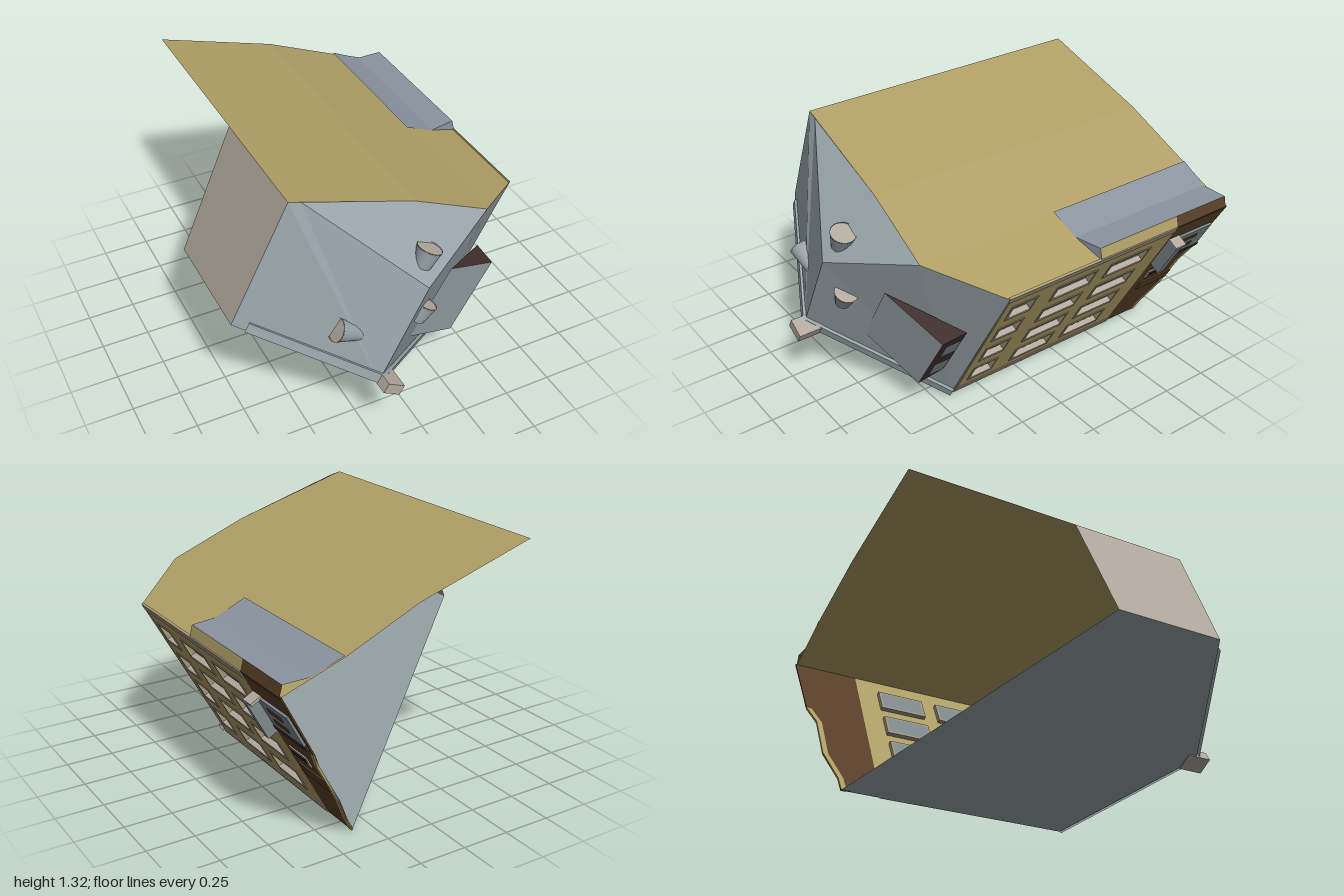
import * as THREE from 'three';

const mat = (name, color) => new THREE.MeshStandardMaterial({ name, color, side: THREE.DoubleSide });

export function createModel() {
  const M = {
    tan: mat('tan', 0xb09f66), gray: mat('gray', 0x98a4aa), slate: mat('slate', 0x8b93a0),
    glass: mat('glass', 0x7f8a8e), beige: mat('beige', 0xb3aa9e), trim: mat('trim', 0xa09480),
    brown: mat('brown', 0x5a4029), dark: mat('darkBrown', 0x40302d), black: mat('black', 0x25201d),
  };
  const root = new THREE.Group();
  root.name = 'tiltedBuilding';
  const add = (parent, name, geo, m, pos = [0, 0, 0], rotZ = 0) => {
    const mesh = new THREE.Mesh(geo, m);
    mesh.name = name;
    mesh.position.set(...pos);
    mesh.rotation.z = rotZ;
    parent.add(mesh);
    return mesh;
  };
  // flat convex panel from its corners
  const panel = (name, m, ...pts) => {
    const v = [];
    for (let i = 1; i < pts.length - 1; i++) v.push(...pts[0], ...pts[i], ...pts[i + 1]);
    const g = new THREE.BufferGeometry();
    g.setAttribute('position', new THREE.Float32BufferAttribute(v, 3));
    g.computeVertexNormals();
    return add(root, name, g, m);
  };

  // shared corners of the shell
  const foot = [0.36, 0.0, 0.41], nose = [-0.21, 0.335, 0.92], brow = [0.04, 0.83, 0.92];
  const eave = [0.82, 0.84, 0.4], hip = [0.5, 0.96, 0.67], mid = [0.1, 1.13, 0.65];
  const peakIn = [-0.47, 1.305, 0.635], peak = [-0.53, 1.32, 0.63], far = [-0.825, 0.7, 0.61];
  const farBack = [-0.825, 0.7, 0.0], footBack = [0.36, 0.005, -0.86];

  // front corner walls, end wall and floor
  panel('frontWallLeft', M.gray, foot, eave, hip, brow, nose);
  panel('frontWallRight', M.gray, nose, brow, peakIn, peak, far);
  panel('frontHip', M.gray, brow, hip, mid, peakIn);
  panel('endWall', M.beige, peak, [-0.53, 1.32, -0.04], farBack, far);
  panel('floor', M.gray, footBack, foot, nose, far, farBack);

  // roof strips
  const front = [peak, mid, hip, eave], backZ = [-0.98, -0.99, -1.0, -0.99];
  for (let i = 0; i < 3; i++) {
    const a = front[i], b = front[i + 1];
    panel('roof', M.tan, a, b, [b[0], b[1], backZ[i + 1]], [a[0], a[1], backZ[i]]);
  }

  // raised eave over the back of the facade
  panel('eaveSlope', M.slate, [0.5, 0.968, -0.11], [0.66, 0.9, -0.12], [0.66, 0.9, -0.985], [0.5, 0.968, -1]);
  panel('eaveShelf', M.slate, [0.66, 0.9, -0.12], [0.805, 0.9, -0.15], [0.805, 0.9, -0.99], [0.66, 0.9, -0.985]);
  panel('eaveEnd', M.slate, [0.66, 0.9, -0.12], [0.82, 0.84, -0.15], [0.805, 0.9, -0.15]);
  panel('eaveFront', M.tan, [0.82, 0.84, -0.15], [0.82, 0.84, -0.65], [0.805, 0.9, -0.65], [0.805, 0.9, -0.15]);
  panel('eaveFrontBack', M.brown, [0.82, 0.84, -0.65], [0.82, 0.84, -0.99], [0.805, 0.9, -0.99], [0.805, 0.9, -0.65]);

  // base curbs along the two front walls
  const curb = (a, b, out) => {
    const up = [0.025, 0.043, 0];
    const at = (p, k, o) => [p[0] + up[0] * k + out[0] * o, p[1] + up[1] * k + out[1] * o, p[2] + out[2] * o];
    panel('curbFace', M.gray, at(a, 0, 1), at(b, 0, 1), at(b, 1, 1), at(a, 1, 1));
    panel('curbTop', M.gray, at(a, 1, 1), at(b, 1, 1), at(b, 1, 0), at(a, 1, 0));
  };
  curb([-0.77, 0.667, 0.635], nose, [-0.006, 0.003, 0.016]);
  curb(nose, foot, [0.01, -0.004, 0.014]);
  add(root, 'cornerBlock', new THREE.BoxGeometry(0.1, 0.055, 0.14), M.beige, [-0.17, 0.337, 0.93], -0.53);

  // wedge bay on the front wall
  const wT = [0.28, 0.71, 0.73], wB = [0.07, 0.35, 0.73], oT = [0.6, 0.55, 0.62], oB = [0.38, 0.18, 0.62];
  const iT = [0.6, 0.56, 0.48], iB = [0.38, 0.2, 0.47];
  panel('bayFront', M.gray, wT, wB, oB, oT);
  panel('bayTop', M.dark, wT, oT, iT);
  panel('bayBottom', M.dark, wB, iB, oB);
  panel('baySide', M.dark, oT, oB, iB, iT);
  const onSide = (t, z) => [oB[0] + 0.22 * t + 0.005, oB[1] + 0.37 * t - 0.002, z];
  for (const [t0, t1] of [[0.16, 0.46], [0.64, 0.92]])
    panel('bayPane', M.glass, onSide(t0, 0.59), onSide(t0, 0.5), onSide(t1, 0.5), onSide(t1, 0.59));

  // wall cups: tapered body with a pale cap
  const cup = (pos, rotZ, r0, r1, len) => {
    const g = new THREE.Group();
    g.name = 'wallCup';
    g.position.set(...pos);
    g.rotation.z = rotZ;
    add(g, 'cupBody', new THREE.CylinderGeometry(r0, r1, len, 20, 1, true), M.gray);
    add(g, 'cupCap', new THREE.CircleGeometry(r0, 20), M.beige, [0, len / 2 - 0.005, 0]).rotation.x = -Math.PI / 2;
    add(g, 'cupBase', new THREE.CircleGeometry(r1, 20), M.gray, [0, -len / 2, 0]).rotation.x = Math.PI / 2;
    root.add(g);
  };
  cup([0.06, 0.605, 0.825], -0.5, 0.062, 0.04, 0.1);
  cup([0.07, 0.94, 0.825], -0.4, 0.064, 0.045, 0.1);
  cup([-0.31, 0.615, 0.815], 1.04, 0.06, 0.03, 0.18);

  // facade: local x is outward, y is up the wall
  const wall = new THREE.Group();
  wall.name = 'facade';
  wall.position.set(0.36, 0.005, 0);
  wall.rotation.z = -0.501;
  root.add(wall);
  // outline in (-z, height), extruded outward from depth x0
  const outline = (pts) => new THREE.Shape(pts.map(([s, v]) => new THREE.Vector2(s, v)));
  const rect = (a, b, c, d) => [[a, c], [b, c], [b, d], [a, d]];
  const plate = (name, shape, m, x0, depth) => {
    const geo = new THREE.ExtrudeGeometry(shape, { depth, bevelEnabled: false });
    return add(wall, name, geo.rotateY(Math.PI / 2), m, [x0, 0, 0]);
  };
  const bar = (name, r, m, x0, depth) => plate(name, outline(rect(...r)), m, x0, depth);

  const main = outline(rect(-0.4, 0.65, 0, 0.957));
  for (const v of [0.155, 0.365, 0.57, 0.78]) {
    [[-0.33, -0.2], [-0.06, 0.17], [0.28, 0.52]].forEach(([a, b], col) => {
      const lo = v - 0.055, hi = v + 0.055;
      main.holes.push(outline(rect(a, b, lo, hi)));
      const ring = outline(rect(a - 0.012, b + 0.012, lo - 0.014, hi + 0.012));
      ring.holes.push(outline(rect(a, b, lo, hi)));
      plate('windowFrame', ring, M.trim, -0.03, 0.034);
      bar('windowPane', [a, b, lo, hi], col ? M.glass : M.trim, -0.03, 0.005);
      bar('windowSill', [a, b, lo, lo + 0.012], M.beige, -0.025, 0.03);
    });
  }
  plate('facadeWall', main, M.tan, -0.008, 0.008);
  bar('topBand', [-0.4, 0.65, 0.915, 0.957], M.trim, 0, 0.005);
  bar('baseBand', [-0.4, 0.65, 0, 0.03], M.trim, 0, 0.005);
  bar('cornerBand', [-0.4, -0.388, 0.03, 0.915], M.trim, 0, 0.004);

  // ragged brown end with its tan edge
  const rag = [[0.86, 0], [0.865, 0.08], [0.925, 0.25], [0.93, 0.49], [0.975, 0.59]];
  plate('brownWall', outline([[0.65, 0], ...rag, [0.998, 0.957], [0.65, 0.957]]), M.brown, -0.008, 0.008);
  const inner = rag.map(([s, v]) => [s - 0.028, v]).reverse();
  plate('raggedEdge', outline([...rag, ...inner]), M.tan, -0.009, 0.012);

  // sign, vent, panel and side board on the brown end
  bar('signPanel', [0.7, 0.96, 0.65, 0.83], M.glass, 0, 0.012);
  for (const v of [0.705, 0.775]) bar('signSlot', [0.76, 0.88, v - 0.015, v + 0.015], M.brown, 0.012, 0.003);
  bar('signLedge', [0.69, 0.97, 0.625, 0.65], M.dark, 0, 0.014);
  bar('vent', [0.7, 0.85, 0.44, 0.505], M.beige, 0, 0.006);
  bar('ventSlot', [0.715, 0.835, 0.46, 0.488], M.black, 0.006, 0.003);
  bar('lowPanel', [0.7, 0.92, 0.32, 0.395], M.brown, 0, 0.008);
  bar('sideBoard', [0.66, 0.695, 0.605, 0.835], M.glass, 0, 0.065);
  bar('sideBoardCap', [0.66, 0.73, 0.825, 0.84], M.beige, 0, 0.06);

  return root;
}
